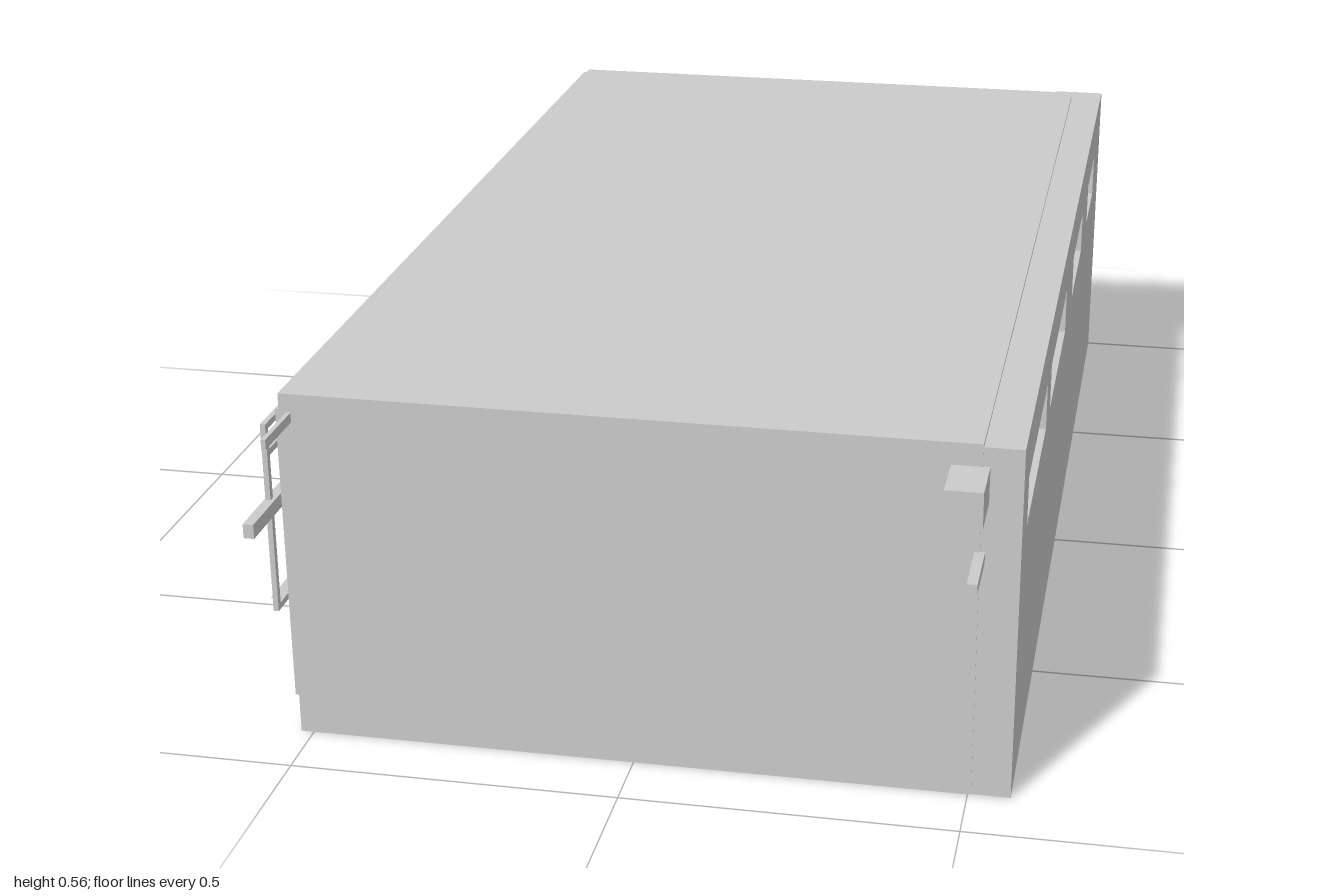
import * as THREE from 'three';

const material = new THREE.MeshStandardMaterial({ color: 0xcccccc, flatShading: true });
const thin = new THREE.MeshStandardMaterial({ color: 0xcccccc, side: THREE.DoubleSide });

function box(parent, name, [x0, x1], [y0, y1], [z0, z1]) {
  const mesh = new THREE.Mesh(new THREE.BoxGeometry(x1 - x0, y1 - y0, z1 - z0), material);
  mesh.position.set((x0 + x1) / 2, (y0 + y1) / 2, (z0 + z1) / 2);
  mesh.name = name;
  parent.add(mesh);
}

// Rectangle outline in the (z, y) plane
function rect(Type, z0, z1, y0, y1) {
  const r = new Type();
  r.moveTo(z0, y0).lineTo(z1, y0).lineTo(z1, y1).lineTo(z0, y1).closePath();
  return r;
}

// Long wall with rectangular openings, its thickness running from xMin to xMax
function sideWall(parent, name, xMin, xMax, openings) {
  const shape = rect(THREE.Shape, -0.99, 0.895, 0, 0.55);
  for (const o of openings) shape.holes.push(rect(THREE.Path, ...o));
  const geo = new THREE.ExtrudeGeometry(shape, { depth: xMax - xMin, bevelEnabled: false });
  geo.rotateY(-Math.PI / 2).translate(xMax, 0, 0);
  const mesh = new THREE.Mesh(geo, material);
  mesh.name = name;
  parent.add(mesh);
}

// Window frame with evenly spaced mullions and given transom heights
function windowFrame(parent, name, [x0, x1], [y0, y1], [z0, z1], columns, transoms, w) {
  const g = new THREE.Group();
  g.name = name;
  for (let i = 0; i <= columns; i++) {
    const z = z0 + (z1 - z0 - w) * i / columns;
    box(g, 'mullion', [x0, x1], [y0, y1], [z, z + w]);
  }
  for (const y of [y0, ...transoms, y1 - w]) box(g, 'transom', [x0, x1], [y, y + w], [z0, z1]);
  parent.add(g);
}

export function createModel() {
  const model = new THREE.Group();
  model.name = 'room';

  // Shell: long walls, end walls, roof and underside
  const small = [[0.44, 0.80], [0, 0.355], [-0.44, -0.18], [-0.805, -0.61]];
  sideWall(model, 'highWindowWall', 0.52, 0.563, small.map(([a, b]) => [a, b, 0.395, 0.47]));
  sideWall(model, 'largeWindowWall', -0.52, -0.495, [[-0.82, 0.85, 0.21, 0.525]]);
  box(model, 'frontWall', [-0.52, 0.505], [0, 0.55], [0.87, 0.897]);
  box(model, 'backWall', [-0.52, 0.53], [0, 0.55], [-0.99, -0.965]);
  box(model, 'ceiling', [-0.52, 0.563], [0.535, 0.551], [-0.99, 0.895]);
  box(model, 'roofSlab', [-0.52, 0.505], [0.55, 0.556], [-0.95, 0.897]);

  const underside = new THREE.Mesh(new THREE.PlaneGeometry(1.083, 1.897), material);
  underside.name = 'underside';
  underside.rotation.x = Math.PI / 2;
  underside.position.set(0.0215, 0, -0.0515);
  model.add(underside);

  // Raised border of the back wall and front corner column
  box(model, 'backColumn', [0.47, 0.563], [0, 0.55], [-1, -0.985]);
  box(model, 'backPlinth', [-0.52, 0.47], [0, 0.045], [-1, -0.985]);
  box(model, 'frontColumn', [0.505, 0.563], [0, 0.55], [0.88, 0.895]);

  // High windows: frames, and closed panes in the first two
  small.forEach(([a, b], i) => {
    windowFrame(model, 'highWindow', [0.53, 0.545], [0.395, 0.47], [a, b], i === 3 ? 1 : 3, [], 0.007);
    if (i < 2) box(model, 'closedPane', [0.535, 0.545], [0.395, 0.47], [b - 0.11, b]);
  });

  // Large window bays with a second, outer lattice
  for (const [a, b] of [[-0.82, -0.02], [0.06, 0.85]])
    windowFrame(model, 'largeWindow', [-0.518, -0.502], [0.21, 0.525], [a, b], 6, [0.29, 0.37, 0.45], 0.01);
  for (const [a, b] of [[-0.64, -0.04], [0.09, 0.913]])
    windowFrame(model, 'outerLattice', [-0.544, -0.536], [0.21, 0.512], [a, b], b > 0.5 ? 7 : 5, [0.46], 0.01);

  // Rails, window trim and sill on the large window side
  box(model, 'middleRail', [-0.546, -0.53], [0.37, 0.392], [-0.84, 1]);
  box(model, 'topRail', [-0.509, -0.502], [0.512, 0.527], [-0.82, 1]);
  box(model, 'cornerTrim', [-0.527, -0.52], [0.06, 0.53], [0.865, 0.893]);
  box(model, 'backCornerTrim', [-0.527, -0.52], [0.06, 0.2], [-0.99, -0.98]);
  const sill = new THREE.Mesh(new THREE.PlaneGeometry(0.045, 1.68), thin);
  sill.name = 'sill';
  sill.rotation.x = -Math.PI / 2;
  sill.position.set(-0.5425, 0.208, 0.03);
  model.add(sill);

  // Fittings on the front wall
  box(model, 'frontBox', [0.46, 0.515], [0.467, 0.522], [0.89, 0.985]);
  box(model, 'frontBeam', [0.497, 0.512], [0.375, 0.391], [0.89, 1]);

  return model;
}
